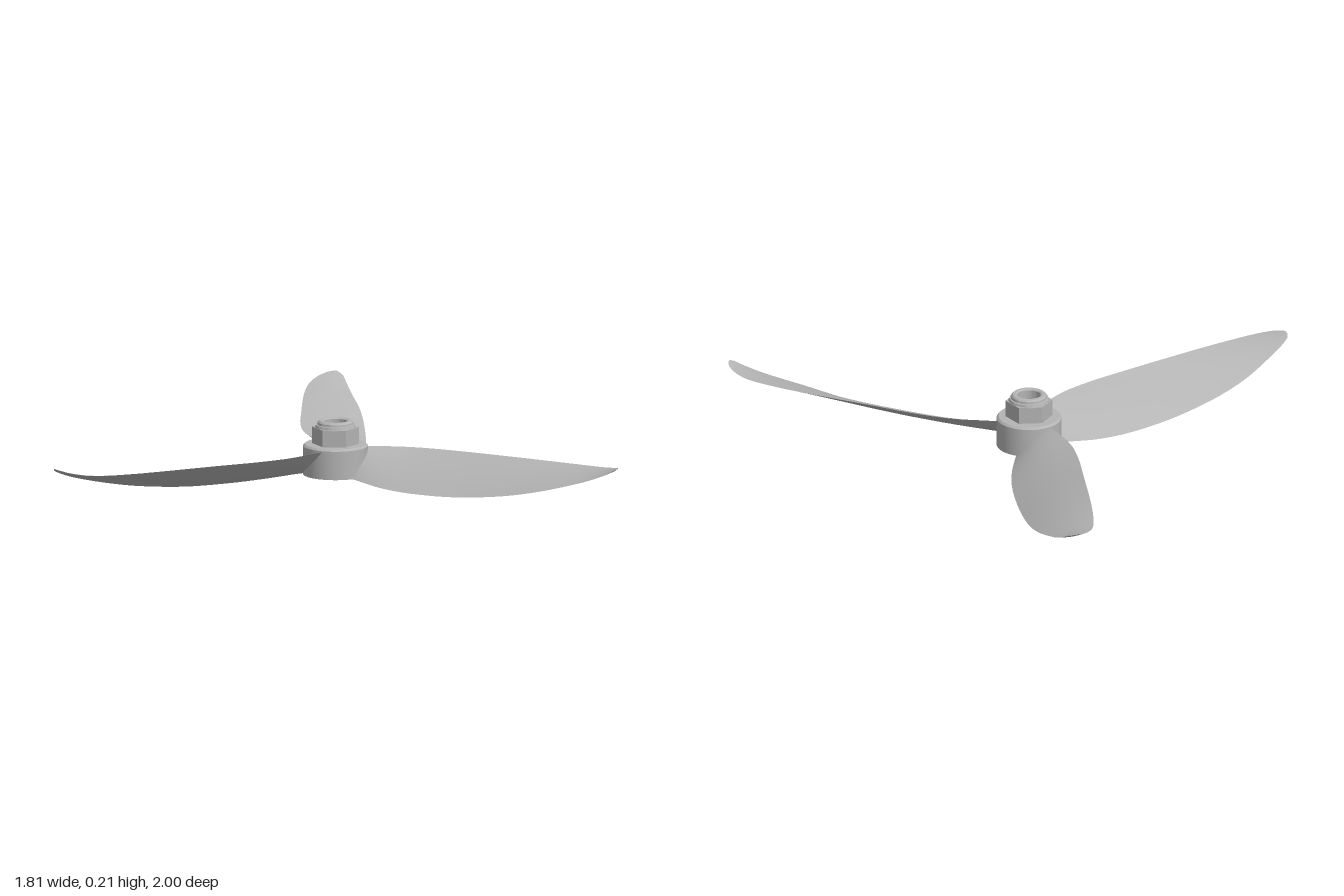
import * as THREE from 'three';
import { toCreasedNormals } from 'three/addons/utils/BufferGeometryUtils.js';

const metal = new THREE.MeshStandardMaterial({ color: 0xb4b4b4 });
metal.name = 'grey metal';

// Blade stations: radius, leading edge z and y, trailing edge z and y
const stations = [
  [0.065, 0.040, 0.020, -0.060, 0.112],
  [0.125, 0.058, 0.015, -0.085, 0.115],
  [0.245, 0.080, 0.004, -0.128, 0.117],
  [0.38, 0.086, 0.000, -0.147, 0.119],
  [0.56, 0.077, 0.006, -0.154, 0.122],
  [0.75, 0.060, 0.029, -0.160, 0.124],
  [0.90, 0.036, 0.060, -0.161, 0.126],
  [1.03, -0.004, 0.096, -0.152, 0.130],
  [1.10, -0.026, 0.121, -0.128, 0.139],
  [1.135, -0.040, 0.138, -0.098, 0.147],
  [1.147, -0.057, 0.148, -0.076, 0.150],
];

function bladeGeometry() {
  const edge = (k) => new THREE.CatmullRomCurve3(
    stations.map((s) => new THREE.Vector3(s[0], s[k + 1], s[k])), false, 'catmullrom', 0.5);
  const low = edge(1), high = edge(3);
  const rings = 50, chord = 10, loop = chord * 2;
  const pos = [], index = [];
  for (let i = 0; i <= rings; i++) {
    const t = i / rings;
    const a = low.getPoint(t), b = high.getPoint(t);
    const across = b.clone().sub(a).normalize();
    const normal = new THREE.Vector3(1, 0, 0).cross(across).normalize();
    const half = 0.009 * (1 - t) + 0.002;
    for (let j = 0; j < loop; j++) {
      const upper = j <= chord;
      const c = upper ? j / chord : (loop - j) / chord;
      const lift = half * Math.sin(Math.PI * c) * (upper ? 1 : -1);
      const p = a.clone().lerp(b, c).addScaledVector(normal, lift);
      pos.push(p.x, p.y, p.z);
    }
  }
  for (let i = 0; i < rings; i++) {
    for (let j = 0; j < loop; j++) {
      const p = i * loop + j, q = i * loop + (j + 1) % loop;
      index.push(p, p + loop, q, q, p + loop, q + loop);
    }
  }
  // Close the tip
  const last = rings * loop;
  for (let j = 1; j < loop - 1; j++) index.push(last, last + j + 1, last + j);
  const geo = new THREE.BufferGeometry();
  geo.setAttribute('position', new THREE.Float32BufferAttribute(pos, 3));
  geo.setIndex(index);
  return toCreasedNormals(geo, 0.7);
}

// Ring turned from a closed profile of [radius, y], listed upward on the outside
function turned(profile) {
  const pts = [...profile, profile[0]].map(([r, y]) => new THREE.Vector2(r, y));
  return toCreasedNormals(new THREE.LatheGeometry(pts, 48), 0.5);
}

function nutGeometry() {
  const shape = new THREE.Shape();
  for (let i = 0; i < 6; i++) {
    const a = Math.PI / 2 + i * Math.PI / 3;
    shape[i ? 'lineTo' : 'moveTo'](0.083 * Math.cos(a), 0.083 * Math.sin(a));
  }
  shape.closePath();
  shape.holes.push(new THREE.Path().absarc(0, 0, 0.041, 0, Math.PI * 2, true));
  const geo = new THREE.ExtrudeGeometry(shape, { depth: 0.062, bevelEnabled: false, curveSegments: 24 });
  return geo.rotateX(-Math.PI / 2).translate(0, 0.123, 0);
}

export function createModel() {
  const model = new THREE.Group();
  model.name = 'propeller';
  const rotor = new THREE.Group();
  rotor.name = 'rotor';
  rotor.position.set(-0.245, 0, -0.033);
  model.add(rotor);

  const add = (name, geo) => {
    const mesh = new THREE.Mesh(geo, metal);
    mesh.name = name;
    rotor.add(mesh);
    return mesh;
  };

  // Hub with a bored centre
  add('hub', turned([[0.055, 0.015], [0.115, 0.015], [0.115, 0.118], [0.108, 0.125], [0.055, 0.125]]));

  // Lock nut: hexagonal body and rounded collar
  add('nut', nutGeometry());
  add('nutCollar', turned([[0.041, 0.183], [0.073, 0.183], [0.069, 0.194], [0.064, 0.195],
    [0.063, 0.203], [0.057, 0.209], [0.046, 0.209], [0.041, 0.205]]));

  // Three pitched blades
  const blade = bladeGeometry();
  for (let i = 0; i < 3; i++) add('blade' + (i + 1), blade).rotation.y = i * Math.PI * 2 / 3;

  return model;
}
